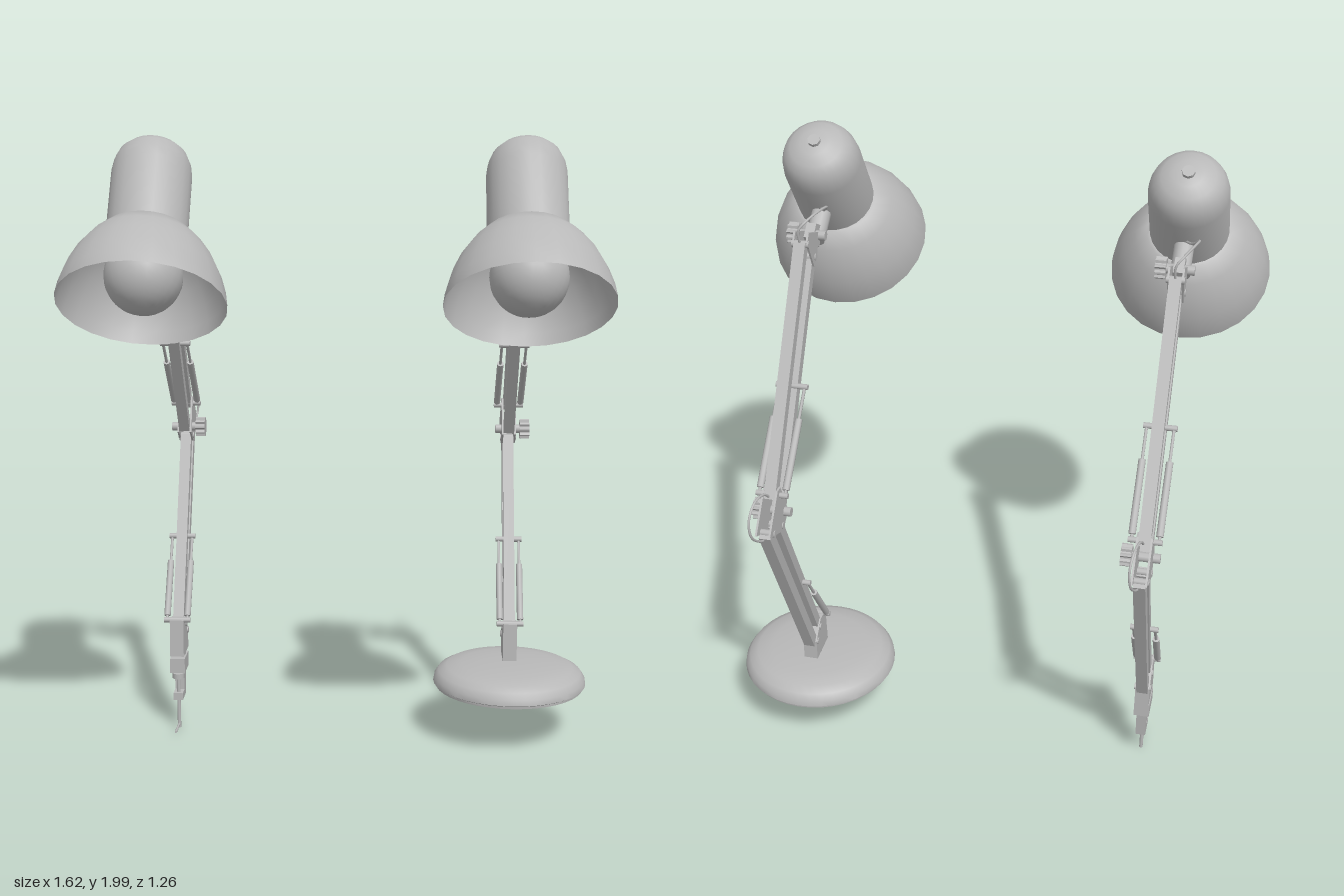
import * as THREE from 'three';
import { toCreasedNormals } from 'three/addons/utils/BufferGeometryUtils.js';

const grey = new THREE.MeshStandardMaterial({ color: 0xb8b8b8, side: THREE.DoubleSide });
grey.name = 'grey paint';

function add(group, name, geometry) {
  const mesh = new THREE.Mesh(geometry, grey);
  mesh.name = name;
  group.add(mesh);
  return mesh;
}

// Points below are [z, y] in the side plane of the lamp.
function plate(group, name, points, width, x = 0) {
  const shape = new THREE.Shape(points.map(([z, y]) => new THREE.Vector2(z, y)));
  const g = new THREE.ExtrudeGeometry(shape, { depth: width, bevelEnabled: false });
  g.translate(0, 0, -width / 2).rotateY(-Math.PI / 2).translate(x, 0, 0);
  return add(group, name, g);
}

function bar(group, name, a, b, width, thick) {
  const dz = b[0] - a[0], dy = b[1] - a[1];
  const g = new THREE.BoxGeometry(width, Math.hypot(dz, dy), thick);
  g.rotateX(Math.atan2(dz, dy)).translate(0, (a[1] + b[1]) / 2, (a[0] + b[0]) / 2);
  return add(group, name, g);
}

function rod(group, name, a, b, r, x = 0, sides = 10) {
  const dz = b[0] - a[0], dy = b[1] - a[1];
  const g = new THREE.CylinderGeometry(r, r, Math.hypot(dz, dy), sides);
  g.rotateX(Math.atan2(dz, dy)).translate(x, (a[1] + b[1]) / 2, (a[0] + b[0]) / 2);
  return add(group, name, g);
}

function pin(group, name, [z, y], r, length, x = 0) {
  const g = new THREE.CylinderGeometry(r, r, length, 10);
  g.rotateZ(Math.PI / 2).translate(x, y, z);
  return add(group, name, g);
}

function knob(group, name, [z, y]) {
  const points = [];
  for (let i = 0; i < 40; i++) {
    const a = (i / 40) * Math.PI * 2, r = i % 4 < 2 ? 0.034 : 0.027;
    points.push([z + r * Math.cos(a), y + r * Math.sin(a)]);
  }
  plate(group, name, points, 0.032, 0.054);
  pin(group, name + 'Shaft', [z, y], 0.015, 0.09);
}

function cord(group, name, points) {
  const curve = new THREE.CatmullRomCurve3(points.map(p => new THREE.Vector3(...p)));
  add(group, name, new THREE.TubeGeometry(curve, 28, 0.004, 6));
}

function lathe(group, name, profile, sides) {
  const g = new THREE.LatheGeometry(profile.map(p => new THREE.Vector2(...p)), sides);
  return add(group, name, toCreasedNormals(g, 0.65));
}

// A pair of springs beside an arm, with cross pins at both ends
function springs(group, name, a, b, spread) {
  const at = t => [a[0] + (b[0] - a[0]) * t, a[1] + (b[1] - a[1]) * t];
  for (const s of [-1, 1]) {
    rod(group, name + 'Wire', a, b, 0.005, s * spread, 6);
    rod(group, name + 'Coil', at(0.3), at(0.95), 0.011, s * spread);
  }
  for (const p of [a, b]) pin(group, name + 'Pin', p, 0.009, spread * 2 + 0.02);
}

function makeHead() {
  const head = new THREE.Group();
  head.name = 'lampHead';
  lathe(head, 'shade', [[0.25, 0], [0.244, 0.04], [0.229, 0.09], [0.204, 0.145],
    [0.17, 0.195], [0.13, 0.236], [0.121, 0.238]], 24);
  lathe(head, 'socketHousing', [[0.121, 0.238], [0.121, 0.44], [0.116, 0.475],
    [0.103, 0.507], [0.08, 0.53], [0.045, 0.545], [0, 0.55]], 24);
  add(head, 'capButton', new THREE.CylinderGeometry(0.02, 0.02, 0.014, 8).translate(0, 0.552, 0));
  add(head, 'bulb', new THREE.SphereGeometry(0.116, 24, 16).translate(0, 0.094, 0));
  add(head, 'bulbNeck', new THREE.CylinderGeometry(0.045, 0.07, 0.16, 16).translate(0, 0.25, 0));
  head.position.set(0, 1.513, 0.42);
  head.rotation.x = -0.607;
  return head;
}

// Everything shared by both lamps: bracket, arms, elbow and head
function makeLamp(name, x) {
  const lamp = new THREE.Group();
  lamp.name = name;
  lamp.position.x = x;
  lamp.add(makeHead());

  plate(lamp, 'baseBracket', [[-0.14, 0.265], [-0.255, 0.265], [-0.255, 0.335],
    [-0.2, 0.39], [-0.145, 0.39]], 0.046);
  add(lamp, 'swivelPost', new THREE.CylinderGeometry(0.022, 0.022, 0.08, 12).translate(0, 0.245, -0.205));

  bar(lamp, 'lowerFrontRail', [-0.197, 0.365], [-0.475, 0.965], 0.036, 0.032);
  bar(lamp, 'lowerRearRail', [-0.248, 0.33], [-0.558, 0.985], 0.036, 0.034);
  springs(lamp, 'lowerSpring', [-0.326, 0.639], [-0.162, 0.388], 0.034);

  for (const s of [-1, 1]) {
    plate(lamp, 'elbowPlate', [[-0.47, 1.1], [-0.495, 1.1], [-0.588, 0.995],
      [-0.475, 0.945], [-0.42, 0.985]], 0.006, s * 0.021);
    plate(lamp, 'headPlate', [[0.03, 1.705], [-0.065, 1.745], [-0.085, 1.72],
      [-0.035, 1.62], [-0.005, 1.64]], 0.006, s * 0.021);
  }
  for (const p of [[-0.475, 0.965], [-0.55, 0.985], [-0.077, 1.712], [-0.02, 1.645],
    [-0.205, 0.365], [-0.24, 0.33]]) pin(lamp, 'pivotPin', p, 0.011, 0.054);
  knob(lamp, 'elbowKnob', [-0.45, 1.0]);

  bar(lamp, 'upperFrontRail', [-0.013, 1.64], [-0.435, 0.998], 0.036, 0.032);
  bar(lamp, 'upperRearRail', [-0.075, 1.712], [-0.495, 1.07], 0.036, 0.032);
  springs(lamp, 'upperSpring', [-0.24, 1.317], [-0.48, 1.078], 0.04);

  // Joint that carries the head
  rod(lamp, 'headStem', [0.15, 1.732], [0.055, 1.664], 0.03, 0, 14);
  plate(lamp, 'headTongue', [[0.085, 1.7], [0.035, 1.73], [-0.005, 1.7], [0.015, 1.665], [0.05, 1.645]], 0.03);
  knob(lamp, 'headKnob', [0.028, 1.695]);

  cord(lamp, 'headCord', [[0, 1.74, 0.13], [-0.03, 1.76, 0.07], [-0.052, 1.79, 0.03],
    [-0.045, 1.798, -0.02], [-0.02, 1.785, -0.075], [0, 1.76, -0.09], [0, 1.71, -0.08]]);
  cord(lamp, 'elbowCord', [[0, 1.07, -0.49], [0.008, 1.108, -0.53], [0.018, 1.11, -0.585],
    [0.024, 1.07, -0.622], [0.02, 1.02, -0.625], [0.01, 0.98, -0.59], [0, 0.96, -0.545]]);
  return lamp;
}

export function createModel() {
  const model = new THREE.Group();
  model.name = 'deskLamps';

  // Lamp standing on a round weighted base
  const standing = makeLamp('standingLamp', 0.56);
  lathe(standing, 'roundBase', [[0, 0.178], [0.247, 0.178], [0.248, 0.186], [0.255, 0.19], [0.252, 0.208],
    [0.238, 0.228], [0.21, 0.243], [0.16, 0.252], [0.09, 0.257], [0, 0.258]], 40).position.z = -0.16;
  model.add(standing);

  // Lamp held by a table clamp
  const clamped = makeLamp('clampLamp', -0.56);
  plate(clamped, 'clampTop', [[-0.145, 0.205], [-0.24, 0.205], [-0.24, 0.255], [-0.145, 0.255]], 0.05);
  plate(clamped, 'clampJaw', [[-0.195, 0.21], [-0.195, 0.132], [-0.15, 0.132], [-0.15, 0.108],
    [-0.222, 0.108], [-0.232, 0.21]], 0.032);
  rod(clamped, 'clampScrew', [-0.167, 0.185], [-0.167, 0.005], 0.006);
  rod(clamped, 'clampPad', [-0.167, 0.2], [-0.167, 0.182], 0.02, 0, 14);
  rod(clamped, 'clampHandle', [-0.167, 0.018], [-0.08, 0.02], 0.004);
  model.add(clamped);
  return model;
}
